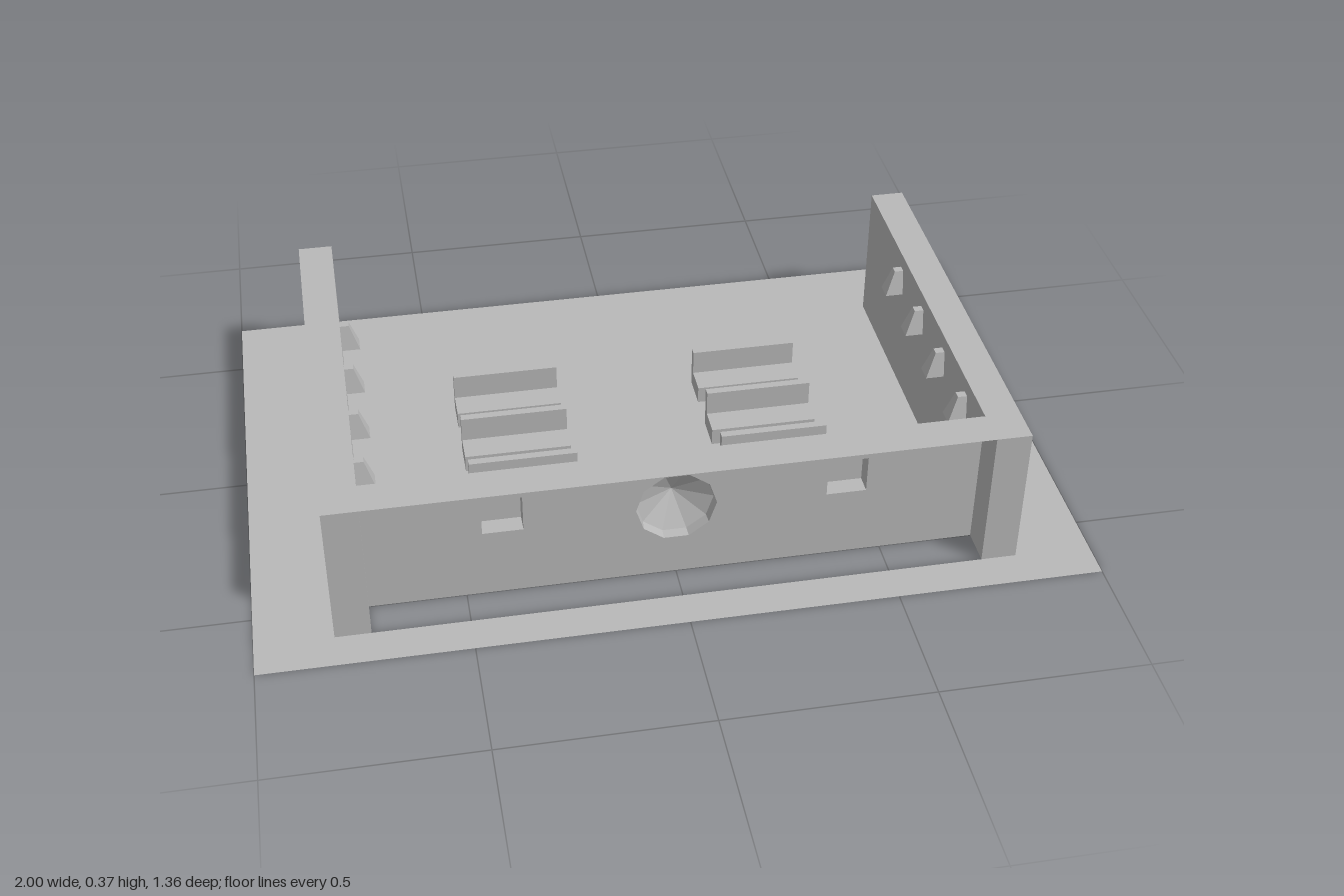
import * as THREE from 'three';

const grey = new THREE.MeshStandardMaterial({ color: 0xb8b8b8, side: THREE.DoubleSide, flatShading: true });
grey.name = 'stone grey';

// main dimensions
const H = 0.365, IN = 0.73, OUT = 0.815, BACK = -0.5, PANEL = 0.5, FRONT = 0.59;
const WIN = { x: 0.408, y: 0.23, s: 0.096, depth: 0.045 };
const DISH = { y: 0.197, r: 0.096, sides: 10 };

function add(parent, name, geometry) {
  const mesh = new THREE.Mesh(geometry, grey);
  mesh.name = name;
  parent.add(mesh);
  return mesh;
}

// box from min/max corners with one face left out (0 +x, 1 -x, 2 +y, 3 -y, 4 +z, 5 -z)
function openBox(x0, x1, y0, y1, z0, z1, skip) {
  const g = new THREE.BoxGeometry(x1 - x0, y1 - y0, z1 - z0);
  g.translate((x0 + x1) / 2, (y0 + y1) / 2, (z0 + z1) / 2);
  const index = Array.from(g.index.array);
  index.splice(skip * 6, 6);
  g.setIndex(index);
  g.clearGroups();
  return g;
}

function rectPath(x0, x1, y0, y1, Type = THREE.Path) {
  return new Type([[x0, y0], [x1, y0], [x1, y1], [x0, y1]].map(p => new THREE.Vector2(...p)));
}

// wall lamp: a half pyramid, narrow at the top, with its back flat on the wall (local z = 0)
function lampGeometry() {
  const g = new THREE.BoxGeometry(0.044, 0.066, 0.045);
  g.translate(0, 0, 0.0225);
  const p = g.attributes.position;
  for (let i = 0; i < p.count; i++) {
    if (p.getY(i) > 0) p.setXYZ(i, p.getX(i) * 0.45, p.getY(i), p.getZ(i) * 0.5);
  }
  g.computeVertexNormals();
  return g;
}

export function createModel() {
  const model = new THREE.Group();
  model.name = 'hall';

  // floor, cut out below the hollow walls and the table base
  const floor = rectPath(-1, 1, -0.682, 0.682, THREE.Shape);
  const u = [[-OUT, -FRONT], [OUT, -FRONT], [OUT, -BACK], [IN, -BACK],
    [IN, -PANEL], [-IN, -PANEL], [-IN, -BACK], [-OUT, -BACK]];
  floor.holes.push(new THREE.Path(u.map(p => new THREE.Vector2(...p))));
  floor.holes.push(rectPath(-0.15, 0.15, -0.39, -0.335));
  add(model, 'floor', new THREE.ShapeGeometry(floor).rotateX(-Math.PI / 2));

  // hollow side walls, open below
  add(model, 'leftWall', openBox(IN, OUT, 0, H, BACK, FRONT, 3));
  add(model, 'rightWall', openBox(-OUT, -IN, 0, H, BACK, FRONT, 3));

  // recessed front wall with holes for the windows and the dish
  const panel = rectPath(-IN, IN, 0, H, THREE.Shape);
  const h = WIN.s / 2;
  for (const s of [-1, 1]) {
    panel.holes.push(rectPath(s * WIN.x - h, s * WIN.x + h, WIN.y - h, WIN.y + h));
  }
  const rim = [];
  for (let i = 0; i < DISH.sides; i++) {
    const a = i / DISH.sides * Math.PI * 2;
    rim.push(new THREE.Vector2(DISH.r * Math.cos(a), DISH.y + DISH.r * Math.sin(a)));
  }
  panel.holes.push(new THREE.Path(rim));
  add(model, 'frontWall', new THREE.ShapeGeometry(panel).translate(0, 0, PANEL));
  add(model, 'frontWallTop', new THREE.PlaneGeometry(2 * IN, FRONT - PANEL)
    .rotateX(-Math.PI / 2).translate(0, H, (FRONT + PANEL) / 2));

  // window niches, open to the outside
  for (const s of [-1, 1]) {
    add(model, s > 0 ? 'leftWindow' : 'rightWindow', openBox(s * WIN.x - h, s * WIN.x + h,
      WIN.y - h, WIN.y + h, PANEL - WIN.depth, PANEL, 4));
  }

  // round dish with a pointed middle, open to the outside
  const profile = [[DISH.r, 0], [DISH.r * 0.97, 0.025], [0, 0.07]].map(p => new THREE.Vector2(...p));
  const dish = new THREE.LatheGeometry(profile, DISH.sides, Math.PI / 2);
  add(model, 'dish', dish.rotateX(-Math.PI / 2)).position.set(0, DISH.y, PANEL);

  // wall lamps along the front and side walls
  const lamp = lampGeometry();
  for (const x of [-0.593, -0.23, 0.226, 0.59]) {
    const m = add(model, 'frontLamp', lamp);
    m.position.set(x, 0.287, PANEL);
    m.rotation.y = Math.PI;
  }
  for (const s of [-1, 1]) {
    for (const z of [-0.19, -0.006, 0.178, 0.361]) {
      const m = add(model, 'sideLamp', lamp);
      m.position.set(s * IN, 0.295, z);
      m.rotation.y = -s * Math.PI / 2;
    }
  }

  // benches in two columns of three
  for (const s of [-1, 1]) {
    for (const z of [-0.232, -0.05, 0.132]) {
      const bench = new THREE.Group();
      bench.name = 'bench';
      bench.position.set(s * 0.318, 0, z);
      add(bench, 'benchBack', openBox(-0.135, 0.135, 0, 0.11, 0, 0.02, 3));
      add(bench, 'benchSeat', openBox(-0.135, 0.135, 0, 0.045, 0.02, 0.09, 3));
      model.add(bench);
    }
  }

  // table: slab on a hollow base
  add(model, 'tableTop', new THREE.BoxGeometry(0.36, 0.025, 0.09).translate(0, 0.07, 0.36));
  add(model, 'tableBase', openBox(-0.15, 0.15, 0, 0.058, 0.335, 0.39, 3));

  return model;
}
